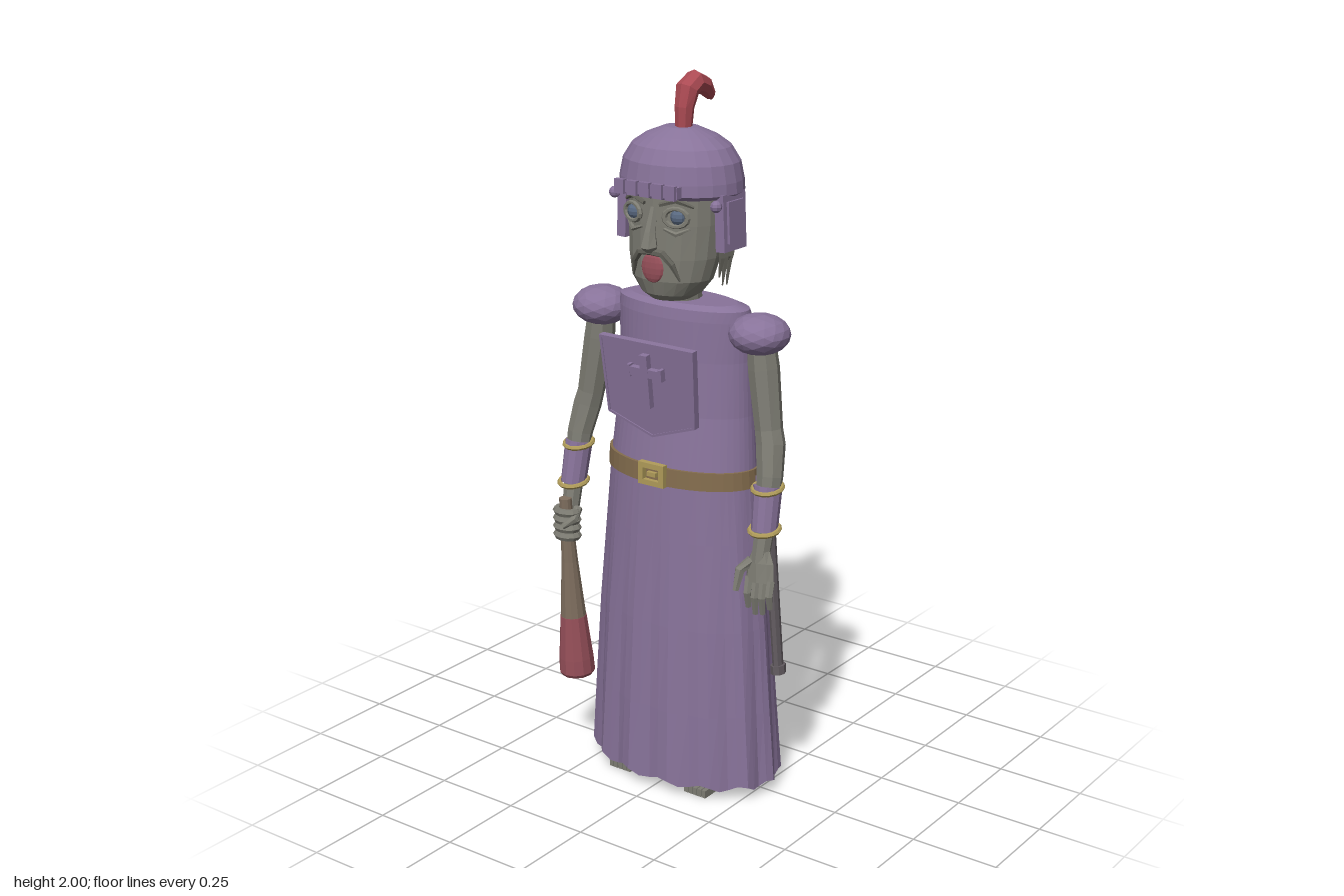
import * as THREE from 'three';

const mat = (name, color, double) => {
  const m = new THREE.MeshStandardMaterial({ color, flatShading: true });
  m.name = name;
  if (double) m.side = THREE.DoubleSide;
  return m;
};
const purple = mat('purple cloth', 0x88739a, true);
const skin = mat('grey skin', 0x7d7c73);
const hairGrey = mat('dark hair', 0x64635b);
const leather = mat('brown leather', 0x846d4e);
const gold = mat('dull gold', 0xb09c5a);
const blue = mat('shield blue', 0x5a6a82);
const red = mat('plume red', 0xab4a53);
const clubRed = mat('club red', 0x97505a);
const wood = mat('club wood', 0x7f6f5f);
const iron = mat('dark iron', 0x625b60);

const CX = -0.006; // body midline
const V = (a) => new THREE.Vector3(...a);

function add(parent, name, geo, material, pos = [0, 0, 0], rot = [0, 0, 0], scale = [1, 1, 1]) {
  const m = new THREE.Mesh(geo, material);
  m.name = name;
  m.position.set(...pos);
  m.rotation.set(...rot);
  m.scale.set(...scale);
  parent.add(m);
  return m;
}
const box = (p, name, m, size, pos, rot) => add(p, name, new THREE.BoxGeometry(...size), m, pos, rot);

// Elliptical rings along a path; radii are numbers or [across, deep] pairs
function sweep(pts, radii, { sides = 8, ref = [0, 0, 1], axis, capStart = true, rule } = {}) {
  const P = pts.map(V), pos = [], idx = [], n = P.length;
  P.forEach((p, i) => {
    const t = axis ? V(axis) : P[Math.min(i + 1, n - 1)].clone().sub(P[Math.max(i - 1, 0)]).normalize();
    const u = V(ref).cross(t).normalize(), v = t.clone().cross(u);
    const [a, b] = Array.isArray(radii[i]) ? radii[i] : [radii[i], radii[i]];
    for (let j = 0; j < sides; j++) {
      const th = (j / sides) * Math.PI * 2;
      const q = p.clone().addScaledVector(u, a * Math.cos(th)).addScaledVector(v, b * Math.sin(th));
      if (rule) rule(q, th);
      pos.push(q.x, q.y, q.z);
    }
  });
  for (let i = 0; i < n - 1; i++) for (let j = 0; j < sides; j++) {
    const k = (j + 1) % sides, a = i * sides + j, b = i * sides + k;
    idx.push(a, b, b + sides, a, b + sides, a + sides);
  }
  const c = n * sides;
  pos.push(...P[0].toArray(), ...P[n - 1].toArray());
  for (let j = 0; j < sides; j++) {
    const k = (j + 1) % sides;
    if (capStart) idx.push(c, k, j);
    idx.push(c + 1, c - sides + j, c - sides + k);
  }
  const g = new THREE.BufferGeometry();
  g.setAttribute('position', new THREE.Float32BufferAttribute(pos, 3));
  g.setIndex(idx);
  g.computeVertexNormals();
  return g;
}

// Horizontal rings [y, half width, back z, front z]
const loft = (rings, opts) => sweep(
  rings.map(([y, , b, f]) => [CX, y, (b + f) / 2]),
  rings.map(([, w, b, f]) => [w, (f - b) / 2]), { axis: [0, 1, 0], ...opts });

// Heater plate with a rim, an inner panel and a raised cross, facing +z
function crestPlate(name, pts, inset, rimMat, panelMat, depth, cross) {
  const g = new THREE.Group();
  g.name = name;
  const inner = pts.map(([x, y]) => new THREE.Vector2(x * inset, y * inset));
  const rim = new THREE.Shape(pts.map(([x, y]) => new THREE.Vector2(x, y)));
  rim.holes.push(new THREE.Path(inner));
  const ex = (s, d) => new THREE.ExtrudeGeometry(s, { depth: d, bevelEnabled: false });
  add(g, name + 'Rim', ex(rim, depth), rimMat);
  add(g, name + 'Panel', ex(new THREE.Shape(inner), depth * 0.85), panelMat);
  const { top, bottom, arm, armY, w } = cross, z = depth * 0.9 + 0.008;
  box(g, name + 'CrossPost', purple, [w, top - bottom, 0.018], [0, (top + bottom) / 2, z]);
  box(g, name + 'CrossBar', purple, [arm * 2, w, 0.017], [0, armY, z]);
  for (const s of [-1, 1]) box(g, name + 'CrossEnd', purple, [w * 0.4, w * 1.4, 0.018], [s * arm, armY, z]);
  return g;
}

export function createModel() {
  const root = new THREE.Group();
  root.name = 'robedKnight';

  // Robe, pleated below the belt with a wavy hem
  add(root, 'robe', loft([
    [0.035, 0.297, -0.178, 0.19], [0.25, 0.284, -0.165, 0.183], [0.5, 0.268, -0.15, 0.173],
    [0.75, 0.246, -0.132, 0.16], [0.93, 0.23, -0.12, 0.15], [1.1, 0.216, -0.116, 0.125],
    [1.25, 0.21, -0.108, 0.115], [1.36, 0.21, -0.095, 0.11], [1.39, 0.205, -0.078, 0.105],
    [1.402, 0.17, -0.055, 0.09]],
  {
    sides: 56, capStart: false,
    rule: (q, th) => {
      const k = Math.max(0, 1 - q.y / 0.9), wave = Math.cos(th * 14);
      q.x *= 1 + 0.03 * k * wave;
      q.z *= 1 + 0.04 * k * wave;
      if (q.y < 0.1) q.y += 0.009 * Math.cos(th * 14 + 1);
    },
  }), purple);

  // Belt and buckle
  add(root, 'belt', loft([[0.905, 0.238, -0.127, 0.157], [0.955, 0.235, -0.125, 0.155]], { sides: 40 }), leather);
  for (const s of [-1, 1]) {
    box(root, 'buckleSide', gold, [0.016, 0.062, 0.018], [CX + s * 0.034, 0.934, 0.16]);
    box(root, 'buckleBar', gold, [0.084, 0.015, 0.018], [CX, 0.934 + s * 0.024, 0.16]);
  }
  box(root, 'bucklePin', gold, [0.03, 0.012, 0.016], [CX, 0.934, 0.159]);

  // Breastplate and back shield
  const breast = crestPlate('breastplate', [[-0.155, 0.13], [-0.145, -0.09], [0, -0.14], [0.145, -0.09], [0.155, 0.13]],
    0.95, purple, purple, 0.02, { top: 0.1, bottom: -0.05, arm: 0.052, armY: 0.05, w: 0.024 });
  breast.position.set(CX, 1.18, 0.155);
  breast.rotation.x = 0.11;
  const shield = crestPlate('backShield', [[-0.13, 0.18], [-0.15, 0.15], [-0.145, -0.01], [-0.1, -0.11], [0, -0.18],
    [0.1, -0.11], [0.145, -0.01], [0.15, 0.15], [0.13, 0.18]],
  0.84, gold, blue, 0.04, { top: 0.13, bottom: -0.11, arm: 0.08, armY: 0.045, w: 0.028 });
  shield.position.set(CX, 1.07, -0.145);
  shield.rotation.y = Math.PI;
  root.add(breast, shield);

  // Neck and head
  add(root, 'neck', sweep([[CX, 1.38, 0.02], [CX, 1.47, 0.04]], [0.055, 0.055], { sides: 10 }), skin);
  add(root, 'head', loft([[1.412, 0.055, 0.01, 0.125], [1.43, 0.085, -0.01, 0.145], [1.47, 0.117, -0.03, 0.156],
    [1.53, 0.132, -0.05, 0.156], [1.62, 0.138, -0.065, 0.154], [1.75, 0.138, -0.07, 0.148]], { sides: 20 }), skin);

  // Face
  add(root, 'nose', sweep([[CX, 1.665, 0.145], [CX, 1.6, 0.163], [CX, 1.565, 0.168], [CX, 1.55, 0.155]],
    [0.01, 0.016, 0.024, 0.014], { sides: 6 }), skin);
  add(root, 'mouth', new THREE.SphereGeometry(1, 12, 8), clubRed, [CX, 1.505, 0.154], [0, 0, 0], [0.036, 0.04, 0.01]);
  for (const s of [-1, 1]) {
    const x = (d) => CX + s * d;
    add(root, 'eyeball', new THREE.SphereGeometry(0.024, 10, 8), blue, [x(0.07), 1.645, 0.13]);
    add(root, 'eyelid', new THREE.TorusGeometry(0.028, 0.007, 6, 14), skin, [x(0.07), 1.645, 0.145], [0, s * 0.3, 0], [1.15, 0.85, 1]);
    add(root, 'eyePouch', sweep([[x(0.035), 1.612, 0.15], [x(0.07), 1.6, 0.145], [x(0.1), 1.615, 0.125]], [0.004, 0.007, 0.003], { sides: 5 }), skin);
    add(root, 'eyebrow', sweep([[x(0.025), 1.675, 0.155], [x(0.07), 1.69, 0.145], [x(0.11), 1.672, 0.12]], [0.006, 0.008, 0.004], { sides: 5 }), hairGrey);
    add(root, 'moustache', sweep([[x(0), 1.55, 0.162], [x(0.035), 1.548, 0.16], [x(0.06), 1.52, 0.15], [x(0.075), 1.475, 0.135]],
      [0.01, 0.011, 0.009, 0.003], { sides: 6 }), hairGrey);
  }

  // Hair strands around the back of the head
  for (let i = 0; i < 27; i++) {
    const a = (i / 26) * Math.PI * 1.08 - 0.04 * Math.PI, c = Math.cos(a), s = Math.sin(a);
    const end = 1.475 - 0.035 * Math.sin(i * 2.4), at = (y, k) => [CX + c * 0.143 * k, y, 0.025 - s * 0.108 * k];
    add(root, 'hairStrand', sweep([at(1.73, 0.98), at(1.6, 1.03), at(1.53, 1), at(end, 0.93)],
      [0.01, 0.011, 0.009, 0.002], { sides: 5 }), hairGrey);
  }

  // Helmet with studded brow and cheek guards
  const dome = [[0.166, 1.69], [0.177, 1.7], [0.175, 1.73], [0.165, 1.777], [0.14, 1.815], [0.102, 1.84], [0.05, 1.86], [0, 1.864]];
  add(root, 'helmet', new THREE.LatheGeometry(dome.map((p) => new THREE.Vector2(...p)), 24), purple,
    [CX, 0, 0.024], [0, 0, 0], [1, 1, 0.82]);
  box(root, 'browBand', purple, [0.2, 0.03, 0.02], [CX, 1.717, 0.172]);
  for (let i = -2; i <= 2; i++) box(root, 'browStud', purple, [0.03, 0.038, 0.014], [CX + i * 0.041, 1.717, 0.183]);
  for (const s of [-1, 1]) {
    box(root, 'cheekGuard', purple, [0.028, 0.15, 0.1], [CX + s * 0.16, 1.628, 0.028], [0, 0, s * 0.04]);
    box(root, 'cheekGuardPlate', purple, [0.012, 0.11, 0.07], [CX + s * 0.175, 1.63, 0.028], [0, 0, s * 0.04]);
    add(root, 'hingeStud', new THREE.SphereGeometry(0.016, 8, 6), purple, [CX + s * 0.165, 1.678, 0.1]);
  }

  // Plume curling backwards
  add(root, 'plume', sweep([[0.006, 1.85, 0.032], [0.007, 1.91, 0.03], [0.008, 1.955, 0.018], [0.009, 1.972, -0.012],
    [0.01, 1.958, -0.05], [0.01, 1.93, -0.08], [0.01, 1.918, -0.088]],
  [0.022, 0.026, 0.032, 0.031, 0.026, 0.016, 0.004], { ref: [1, 0, 0] }), red);

  // Shoulders, arms and cuffs
  for (const s of [-1, 1]) {
    const x = (d) => CX + s * d, side = s > 0 ? 'left' : 'right';
    add(root, side + 'ShoulderPad', new THREE.IcosahedronGeometry(1, 2), purple, [x(0.262), 1.342, 0.038], [0, 0, 0], [0.083, 0.055, 0.083]);
    add(root, side + 'Arm', sweep([[x(0.265), 1.33, 0.035], [x(0.275), 1.25, 0.035], [x(0.3), 1.09, 0.045], [x(0.31), 1.05, 0.05],
      [x(0.322), 0.97, 0.07], [x(0.326), 0.82, 0.1], [x(0.325), 0.74, 0.118]],
    [0.038, 0.043, 0.038, 0.04, 0.036, 0.027, 0.024]), skin);
    add(root, side + 'Cuff', sweep([[x(0.321), 0.945, 0.078], [x(0.326), 0.825, 0.1]], [0.039, 0.036], { sides: 12 }), purple);
    for (const [y, z, d] of [[0.94, 0.079, 0.321], [0.83, 0.099, 0.326]])
      add(root, side + 'CuffRing', new THREE.TorusGeometry(0.04, 0.007, 6, 14), gold, [x(d), y, z], [Math.PI / 2 + 0.18, 0, 0]);
  }

  // Left hand hanging open
  add(root, 'leftPalm', sweep([[0.319, 0.775, 0.11], [0.322, 0.74, 0.12], [0.328, 0.69, 0.13]], [[0.025, 0.02], [0.042, 0.02], [0.044, 0.018]]), skin);
  for (let i = 0; i < 4; i++) {
    const x = 0.294 + i * 0.023, l = [0.085, 0.1, 0.095, 0.075][i];
    add(root, 'leftFinger', sweep([[x, 0.7, 0.13], [x + 0.004, 0.7 - l * 0.5, 0.145], [x + 0.003, 0.7 - l, 0.137]], [0.012, 0.011, 0.008], { sides: 6 }), skin);
  }
  add(root, 'leftThumb', sweep([[0.297, 0.745, 0.125], [0.277, 0.72, 0.15], [0.274, 0.665, 0.165]], [0.014, 0.015, 0.009], { sides: 6 }), skin);

  // Right hand gripping the club
  add(root, 'rightPalm', new THREE.SphereGeometry(1, 10, 8), skin, [-0.335, 0.725, 0.118], [0, 0, 0], [0.032, 0.05, 0.028]);
  for (let i = 0; i < 4; i++)
    add(root, 'rightFinger', new THREE.TorusGeometry(0.03, 0.012, 6, 12), skin, [-0.327, 0.752 - i * 0.024, 0.137], [Math.PI / 2, 0, 0], [1.05, 0.85, 1]);
  add(root, 'rightThumb', sweep([[-0.3, 0.76, 0.12], [-0.292, 0.735, 0.15], [-0.315, 0.715, 0.173]], [0.013, 0.013, 0.008], { sides: 6 }), skin);
  const club = (y) => [-0.327 + (0.7 - y) * 0.02, y, 0.137 - (0.7 - y) * 0.05];
  add(root, 'clubHandle', sweep([0.43, 0.6, 0.7, 0.79].map(club), [0.037, 0.024, 0.019, 0.018], { sides: 12 }), wood);
  add(root, 'clubHead', sweep([0.246, 0.256, 0.3, 0.43].map(club), [0.046, 0.052, 0.05, 0.038], { sides: 12 }), clubRed);

  // Sheathed sword on the left hip
  const sword = (y) => [0.236 + (1.03 - y) * 0.085, y, -0.02];
  add(root, 'scabbard', sweep([0.37, 0.93].map(sword), [[0.013, 0.019], [0.015, 0.02]], { sides: 8 }), iron);
  add(root, 'scabbardTip', sweep([0.36, 0.385].map(sword), [[0.02, 0.025], [0.02, 0.025]]), iron);
  box(root, 'swordGuard', purple, [0.03, 0.022, 0.065], sword(0.925));
  add(root, 'swordGrip', sweep([0.93, 1.02].map(sword), [0.013, 0.013]), purple);
  add(root, 'swordPommel', new THREE.IcosahedronGeometry(0.02, 1), purple, sword(1.025));

  // Legs and feet under the robe
  for (const s of [-1, 1]) {
    const x = CX + s * 0.133;
    add(root, 'leg', sweep([[x, 0.02, 0.02], [x, 0.09, 0.015], [x - s * 0.01, 0.4, 0.01], [x - s * 0.03, 0.85, 0.01]], [0.024, 0.02, 0.035, 0.05]), skin);
    box(root, 'foot', skin, [0.072, 0.036, 0.13], [x, 0.018, 0.055]);
    for (let i = -2; i <= 2; i++) box(root, 'toe', skin, [0.013, 0.022, 0.035], [x + i * 0.015, 0.011, 0.13]);
  }
  return root;
}
